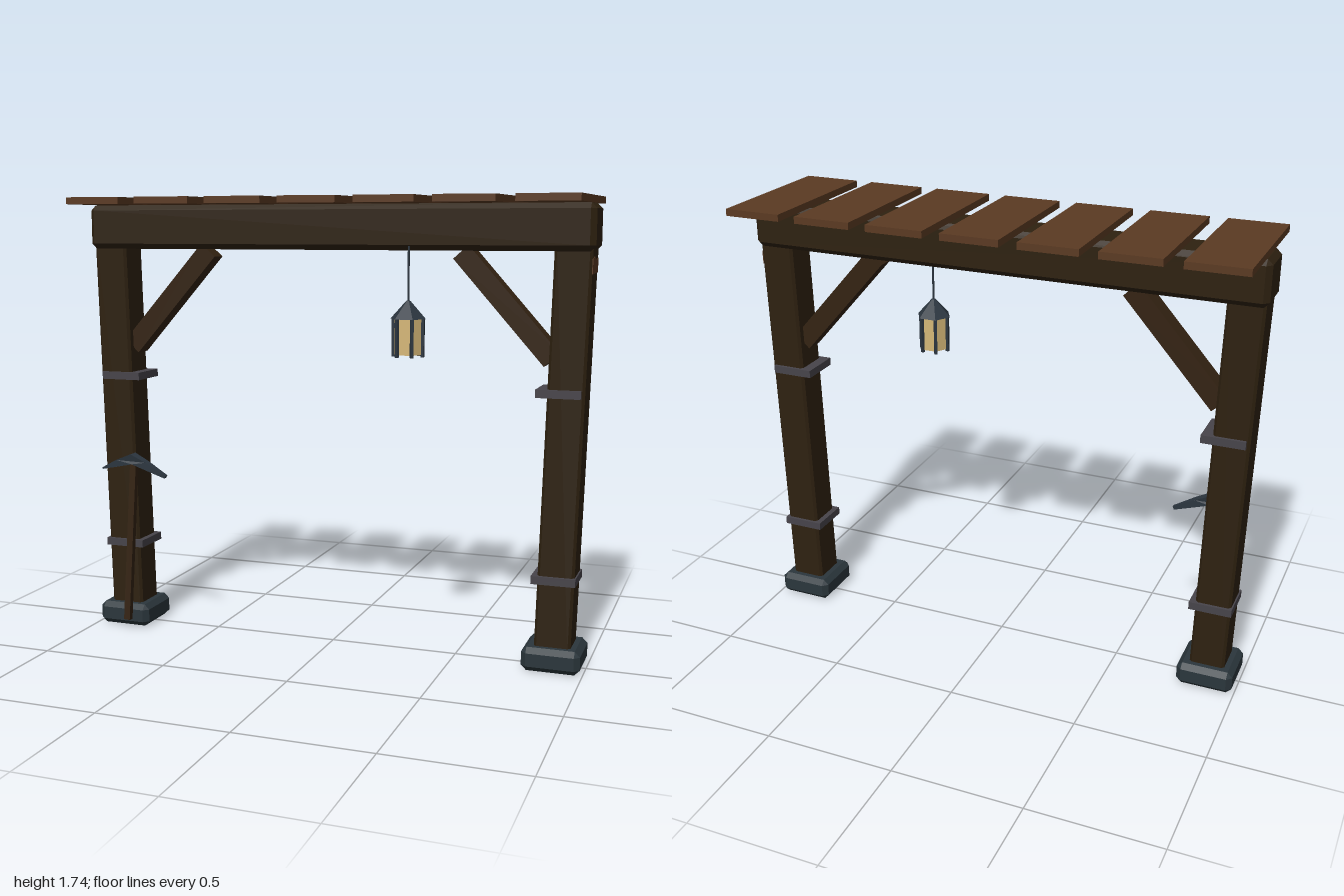
import * as THREE from 'three';
import { ConvexGeometry } from 'three/addons/geometries/ConvexGeometry.js';

const mat = (name, color, extra = {}) => {
  const m = new THREE.MeshStandardMaterial({ color, ...extra });
  m.name = name;
  return m;
};

// Box with every edge and corner cut at 45 degrees
function chamferBox(w, h, d, c) {
  const pts = [];
  for (const x of [-1, 1]) for (const y of [-1, 1]) for (const z of [-1, 1]) {
    const [a, b, e] = [w / 2, h / 2, d / 2];
    pts.push(
      new THREE.Vector3(x * a, y * (b - c), z * (e - c)),
      new THREE.Vector3(x * (a - c), y * b, z * (e - c)),
      new THREE.Vector3(x * (a - c), y * (b - c), z * e));
  }
  return new ConvexGeometry(pts);
}

export function createModel() {
  const darkWood = mat('darkWood', 0x2e2110);
  const braceWood = mat('braceWood', 0x342312);
  const plankWood = mat('plankWood', 0x5b3a22);
  const stone = mat('stone', 0x2b363c);
  const bandIron = mat('bandIron', 0x47444a);
  const blueIron = mat('blueIron', 0x2c3640);
  const glass = mat('glass', 0xd6b878);

  const model = new THREE.Group();
  model.name = 'timberFrame';
  const add = (name, geo, material, x = 0, y = 0, z = 0, parent = model) => {
    const m = new THREE.Mesh(geo, material);
    m.name = name;
    m.position.set(x, y, z);
    parent.add(m);
    return m;
  };

  // Top beam and roof planks
  add('beam', chamferBox(2, 0.17, 0.18, 0.02), darkWood, 0, 1.628, 0);
  for (let i = 0; i < 7; i++)
    add('plank', new THREE.BoxGeometry(0.222, 0.026, 0.59), plankWood, (i - 3) * 0.289, 1.727, 0);

  // Leaning posts with footings, bands and braces
  for (const s of [-1, 1]) {
    const side = s < 0 ? 'right' : 'left';
    add(side + 'Footing', chamferBox(0.218, 0.09, 0.22, 0.02), stone, s * 0.881, 0.047, 0);
    const post = add(side + 'Post', chamferBox(0.136, 1.5, 0.14, 0.01), darkWood, s * 0.9015, 0.815, 0);
    post.rotation.z = -s * 0.0268;
    for (const y of [0.345, 1.035])
      add(side + 'Band', new THREE.BoxGeometry(0.164, 0.03, 0.164), bandIron, s * 0.881, y, 0);
    const brace = add(side + 'Brace', new THREE.BoxGeometry(0.515, 0.076, 0.075), braceWood, s * 0.678, 1.346, 0);
    brace.rotation.z = -s * THREE.MathUtils.degToRad(48.4);
    // Worn patch on the outer face of one post
    if (s > 0) {
      const patch = new THREE.Shape([[-0.064, -0.032], [0.062, -0.028], [0.062, 0.024], [0.02, 0.018], [-0.03, 0.03], [-0.064, 0.022]]
        .map(p => new THREE.Vector2(...p)));
      const g = new THREE.ExtrudeGeometry(patch, { depth: 0.003, bevelEnabled: false }).rotateY(Math.PI / 2);
      add('wornPatch', g, plankWood, 0.067, 0.682, 0, post);
    }
  }

  // Hanging six-sided lantern
  const lantern = new THREE.Group();
  lantern.name = 'lantern';
  lantern.position.set(0.326, 0, 0.092);
  model.add(lantern);
  const hex = (top, bottom, h) => new THREE.CylinderGeometry(top, bottom, h, 6).rotateY(Math.PI / 6).rotateY(Math.PI / 3).toNonIndexed();
  const lanternPart = (name, geo, m, y) => {
    geo.computeVertexNormals();
    return add(name, geo, m, 0, y, 0, lantern);
  };
  add('hangingRod', new THREE.CylinderGeometry(0.004, 0.004, 0.21, 6), blueIron, 0, 1.455, 0, lantern);
  lanternPart('lanternRoof', hex(0.008, 0.068, 0.066), blueIron, 1.327);
  lanternPart('lanternGlass', hex(0.055, 0.055, 0.132), glass, 1.228);
  for (let i = 0; i < 6; i++) {
    const a = i * Math.PI / 3;
    const bar = add('lanternBar', new THREE.BoxGeometry(0.012, 0.142, 0.012), blueIron,
      Math.cos(a) * 0.056, 1.225, Math.sin(a) * 0.056, lantern);
    bar.rotation.y = -a;
  }

  // Pickaxe leaning on the front of one post
  const pick = new THREE.Group();
  pick.name = 'pickaxe';
  model.add(pick);
  const low = new THREE.Vector3(-0.847, 0.037, 0.131), high = new THREE.Vector3(-0.815, 0.70, 0.105);
  const axis = high.clone().sub(low);
  const handle = add('pickHandle', new THREE.BoxGeometry(0.026, axis.length(), 0.024), braceWood, 0, 0, 0, pick);
  handle.position.copy(low).add(high).multiplyScalar(0.5);
  handle.quaternion.setFromUnitVectors(new THREE.Vector3(0, 1, 0), axis.normalize());

  const outline = new THREE.Shape([
    [-0.133, -0.066], [-0.065, -0.052], [0.005, -0.037], [0.072, -0.062], [0.143, -0.088],
    [0.149, -0.077], [0.065, -0.028], [0, 0.004], [-0.068, -0.024], [-0.136, -0.06],
  ].map(p => new THREE.Vector2(...p)));
  const headGeo = new THREE.ExtrudeGeometry(outline, { depth: 0.044, bevelEnabled: false }).translate(0, 0, -0.022);
  // Narrow the head towards both tips
  const pos = headGeo.attributes.position;
  for (let i = 0; i < pos.count; i++)
    pos.setZ(i, pos.getZ(i) * (1 - 4.2 * Math.abs(pos.getX(i))));
  headGeo.computeVertexNormals();
  add('pickHead', headGeo, blueIron, -0.815, 0.723, 0.117, pick);

  return model;
}
